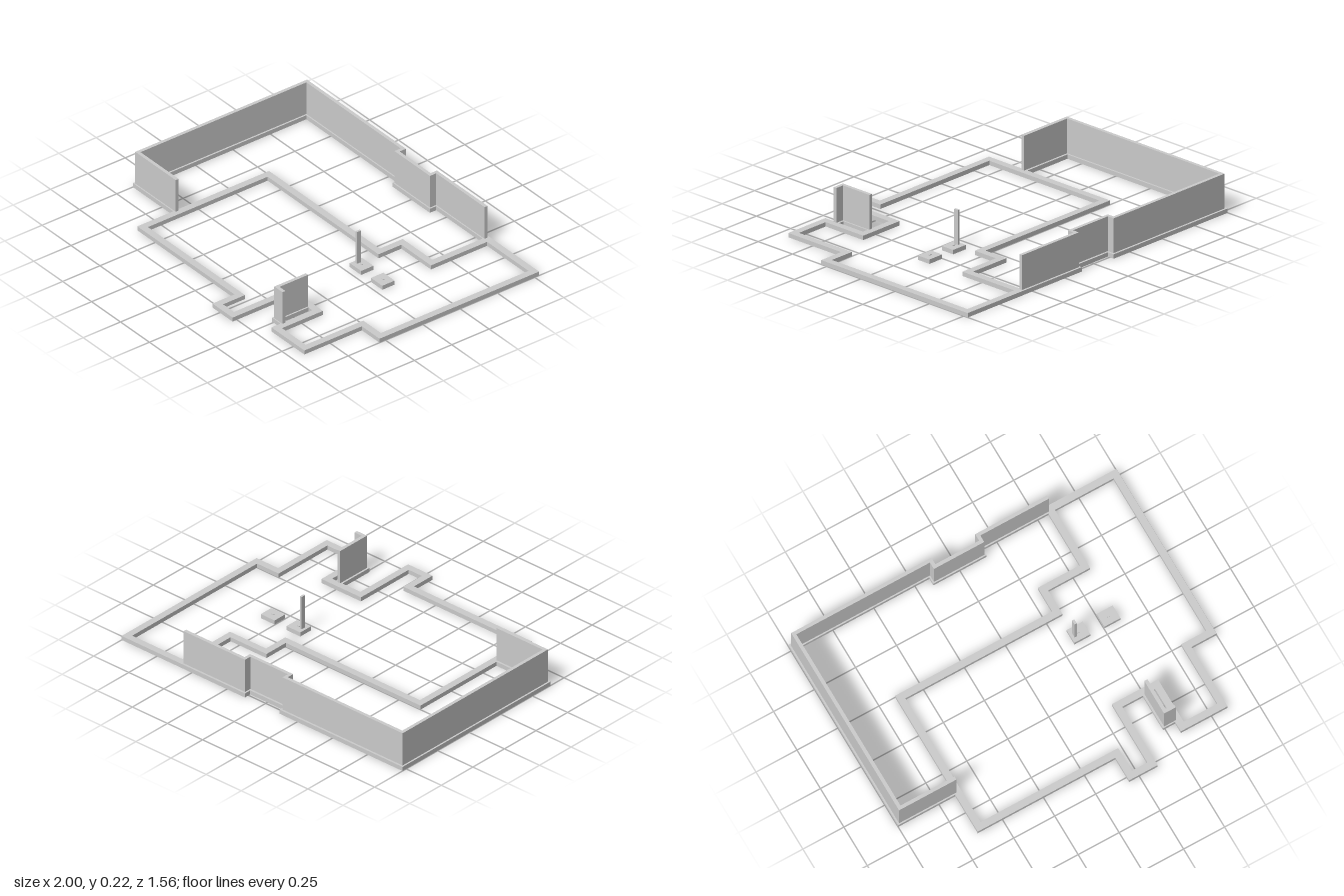
import * as THREE from 'three';

const FOOT_H = 0.025;
const WALL_TOP = 0.224;
const material = new THREE.MeshStandardMaterial({ color: 0xcccccc });

// Offset a plan path [x, z] sideways by d, with mitred right-angle corners
function offsetPath(path, d, closed) {
  const n = path.length;
  const normal = (a, b) => {
    const dx = b[0] - a[0], dz = b[1] - a[1], len = Math.hypot(dx, dz);
    return [-dz / len, dx / len];
  };
  return path.map((p, i) => {
    const prev = i > 0 || closed ? normal(path[(i + n - 1) % n], p) : null;
    const next = i < n - 1 || closed ? normal(p, path[(i + 1) % n]) : null;
    const m = prev && next ? [prev[0] + next[0], prev[1] + next[1]] : prev || next;
    // Shape y is -z so the extrusion can be tipped upright
    return new THREE.Vector2(p[0] + m[0] * d, -(p[1] + m[1] * d));
  });
}

// Strip of constant width along a plan path, extruded from y0 to y1
function strip(name, path, width, y0, y1, closed = false) {
  const sides = [width / 2, -width / 2].map((d) => offsetPath(path, d, closed));
  let shape;
  if (closed) {
    // The larger outline is the rim; the hole must wind the opposite way
    const size = (pts) => Math.abs(THREE.ShapeUtils.area(pts));
    const [inner, outer] = sides.sort((a, b) => size(a) - size(b));
    shape = new THREE.Shape(outer);
    shape.holes.push(new THREE.Path(inner.reverse()));
  } else {
    shape = new THREE.Shape([...sides[0], ...sides[1].reverse()]);
  }
  const geometry = new THREE.ExtrudeGeometry(shape, { depth: y1 - y0, bevelEnabled: false });
  geometry.rotateX(-Math.PI / 2);
  geometry.translate(0, y0, 0);
  const mesh = new THREE.Mesh(geometry, material);
  mesh.name = name;
  return mesh;
}

function box(name, x, z, w, d, y0, y1) {
  const mesh = new THREE.Mesh(new THREE.BoxGeometry(w, y1 - y0, d), material);
  mesh.position.set(x, (y0 + y1) / 2, z);
  mesh.name = name;
  return mesh;
}

export function createModel() {
  const model = new THREE.Group();
  model.name = 'buildingFoundation';

  // Closed footing around the main rooms
  model.add(strip('mainFooting', [
    [0.582, -0.759], [0.98, -0.759], [0.98, 0.27], [0.827, 0.27],
    [0.827, 0.655], [0.582, 0.655], [0.582, 0.381], [0.341, 0.381],
    [0.341, 0.759], [0.207, 0.759], [0.207, 0.612], [-0.632, 0.612],
    [-0.632, -0.23], [0.326, -0.23], [0.326, -0.383], [0.582, -0.383],
  ], 0.04, 0, FOOT_H, true));

  // Footing and retaining wall along the back and right-hand side
  model.add(strip('backFooting', [
    [0.562, -0.759], [0.142, -0.759], [0.142, -0.717], [-0.143, -0.717],
    [-0.143, -0.759], [-0.98, -0.759], [-0.98, 0.372], [-0.652, 0.372],
  ], 0.04, 0, FOOT_H));
  model.add(strip('backWall', [
    [0.57, -0.757], [0.142, -0.757], [0.142, -0.715], [-0.145, -0.715],
    [-0.145, -0.757], [-0.98, -0.757], [-0.98, 0.374], [-0.64, 0.374],
  ], 0.02, FOOT_H, WALL_TOP));

  // Short L-shaped wall in the front recess
  model.add(strip('recessFooting',
    [[0.508, 0.401], [0.508, 0.594], [0.562, 0.594]], 0.04, 0, FOOT_H));
  model.add(strip('recessWall',
    [[0.509, 0.395], [0.509, 0.597], [0.57, 0.597]], 0.02, FOOT_H, WALL_TOP));

  // Column pads, each with a small anchor plate
  for (const x of [0.369, 0.552]) {
    model.add(box('columnPad', x, -0.079, 0.098, 0.083, 0, FOOT_H));
    model.add(box('anchorPlate', x, -0.079, 0.016, 0.008, FOOT_H, FOOT_H + 0.004));
  }

  // Slim post standing on one pad
  model.add(box('post', 0.343, -0.077, 0.013, 0.027, FOOT_H, WALL_TOP));

  return model;
}
